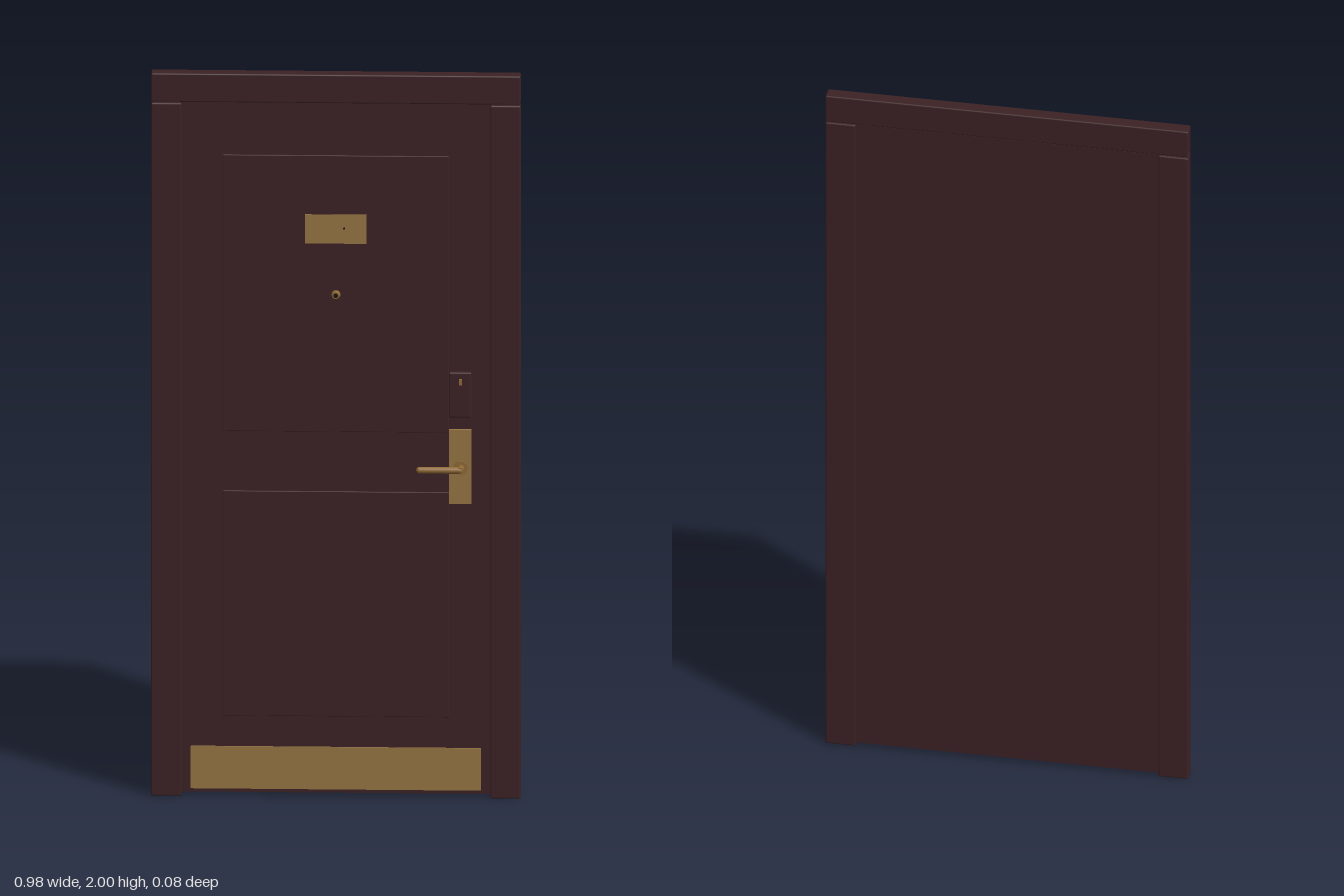
import * as THREE from 'three';
import { RoundedBoxGeometry } from 'three/addons/geometries/RoundedBoxGeometry.js';

const material = (name, color) => {
  const m = new THREE.MeshStandardMaterial({ color });
  m.name = name;
  return m;
};

export function createModel() {
  const wood = material('dark wood', 0x3c2224);
  const brass = material('plate brass', 0x967643);
  const bronze = material('lever bronze', 0x8f6a36);
  const dark = material('dark hole', 0x1c1412);

  const door = new THREE.Group();
  door.name = 'door';

  const add = (name, geometry, mat, parent = door) => {
    const mesh = new THREE.Mesh(geometry, mat);
    mesh.name = name;
    parent.add(mesh);
    return mesh;
  };

  // Box given by its limits, with an optional small rounded edge
  const box = (name, mat, [x0, x1], [y0, y1], [z0, z1], radius = 0, parent = door) => {
    const size = [x1 - x0, y1 - y0, z1 - z0];
    const g = radius ? new RoundedBoxGeometry(...size, 2, radius) : new THREE.BoxGeometry(...size);
    g.translate((x0 + x1) / 2, (y0 + y1) / 2, (z0 + z1) / 2);
    return add(name, g, mat, parent);
  };

  // Disc or pin whose axis points to the front
  const pin = (name, mat, x, y, [z0, z1], radius, parent = door, frontRadius = radius) => {
    const g = new THREE.CylinderGeometry(frontRadius, radius, z1 - z0, 24);
    g.rotateX(Math.PI / 2).translate(x, y, (z0 + z1) / 2);
    return add(name, g, mat, parent);
  };

  // Frame
  box('header', wood, [-0.49, 0.49], [1.921, 2], [-0.04, 0], 0.004);
  box('leftJamb', wood, [0.41, 0.49], [0, 1.918], [-0.04, 0], 0.004);
  box('rightJamb', wood, [-0.49, -0.41], [0, 1.918], [-0.04, 0], 0.004);

  // Leaf with two raised panels
  box('leaf', wood, [-0.409, 0.409], [0.01, 1.92], [-0.037, -0.01]);
  box('upperPanel', wood, [-0.3, 0.3], [1.01, 1.775], [-0.012, -0.006], 0.002);
  box('lowerPanel', wood, [-0.3, 0.3], [0.222, 0.845], [-0.012, -0.006], 0.002);

  // Kick plate and name plate
  box('kickPlate', brass, [-0.385, 0.385], [0.02, 0.137], [-0.011, -0.006]);
  box('namePlate', brass, [-0.082, 0.082], [1.532, 1.612], [-0.008, -0.003]);
  pin('namePlateHole', dark, 0.022, 1.574, [-0.004, -0.0025], 0.003);

  // Peephole
  const peephole = new THREE.Group();
  peephole.name = 'peephole';
  door.add(peephole);
  pin('peepholeRing', bronze, 0, 1.39, [-0.008, 0.004], 0.013, peephole, 0.009);
  pin('peepholeLens', dark, 0, 1.39, [0.003, 0.005], 0.006, peephole);

  // Lock box with its keyhole
  const lock = new THREE.Group();
  lock.name = 'lock';
  door.add(lock);
  box('lockCase', wood, [0.3, 0.36], [1.055, 1.18], [-0.011, 0.004], 0.004, lock);
  box('lockKeyhole', bronze, [0.327, 0.335], [1.145, 1.162], [0.003, 0.0055], 0, lock);

  // Lever handle on its back plate
  const handle = new THREE.Group();
  handle.name = 'handle';
  door.add(handle);
  box('backPlate', brass, [0.3, 0.36], [0.815, 1.02], [-0.011, 0], 0, handle);
  pin('rose', bronze, 0.332, 0.916, [-0.002, 0.006], 0.019, handle);
  pin('stem', bronze, 0.332, 0.916, [0.004, 0.034], 0.009, handle);
  const lever = new THREE.CapsuleGeometry(0.009, 0.108, 6, 20);
  lever.rotateZ(Math.PI / 2).translate(0.277, 0.916, 0.027);
  add('lever', lever, bronze, handle);

  return door;
}
